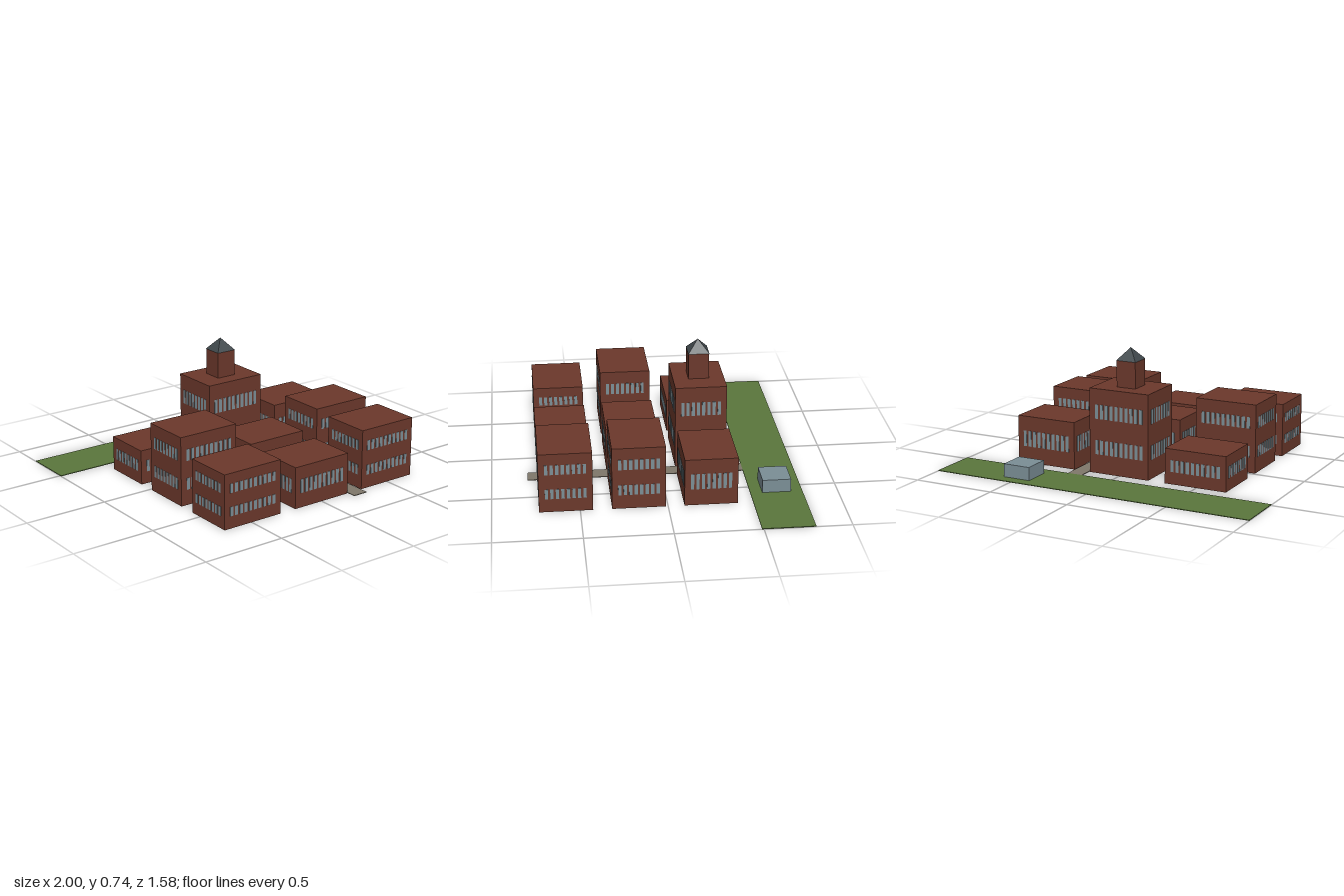
import * as THREE from 'three';

const paint = (color) => new THREE.MeshStandardMaterial({ color, flatShading: true });

export function createModel() {
  const brick = paint(0x6b382b), glass = paint(0x7b8e96), slate = paint(0x3f474b);
  const grass = paint(0x5a763c), paving = paint(0x7f776a);
  const model = new THREE.Group();
  model.name = 'campus';

  // Box standing on height y
  function box(parent, name, material, w, h, d, x, y, z) {
    const mesh = new THREE.Mesh(new THREE.BoxGeometry(w, h, d), material);
    mesh.name = name;
    mesh.position.set(x, y + h / 2, z);
    parent.add(mesh);
    return mesh;
  }

  const W = 0.385, D = 0.306, PROUD = 0.002;

  // Brick block with rows of windows on all four walls
  function building(name, x, z, h) {
    const group = new THREE.Group();
    group.name = name;
    group.position.set(x, 0, z);
    box(group, 'walls', brick, W, h, D, 0, 0, 0);
    const floors = h > 0.3 ? 2 : 1;
    const winH = 0.336 * h / floors;
    for (let f = 0; f < floors; f++) {
      const y = h * (0.1 + 0.84 * (f + 0.5) / floors) - winH / 2;
      for (const side of [-1, 1]) {
        for (let i = 0; i < 10; i++) {
          box(group, 'window', glass, 0.0195, winH, PROUD * 2, (i - 4.5) * 0.0323, y, side * D / 2);
        }
        for (let i = 0; i < 8; i++) {
          box(group, 'window', glass, PROUD * 2, winH, 0.0185, side * W / 2, y, (i - 3.5) * 0.031);
        }
      }
    }
    model.add(group);
    return group;
  }

  // Three by three blocks: rows from back to front, heights from -x to +x
  const rows = [
    { label: 'back', z: -0.247, heights: [0.21, 0.51, 0.287] },
    { label: 'middle', z: 0.166, heights: [0.415, 0.265, 0.378] },
    { label: 'front', z: 0.58, heights: [0.325, 0.25, 0.362] },
  ];
  const columns = [['Right', -0.492], ['Centre', 0], ['Left', 0.492]];
  for (const { label, z, heights } of rows) {
    columns.forEach(([column, x], i) => building(`${label}${column}Building`, x, z, heights[i]));
  }

  // Tower with a pyramid roof on the tallest block
  box(model, 'tower', brick, 0.122, 0.158, 0.122, 0, 0.51, -0.247);
  const roof = new THREE.Mesh(
    new THREE.ConeGeometry(0.063 * Math.SQRT2, 0.073, 4).rotateY(Math.PI / 4), slate);
  roof.name = 'towerRoof';
  roof.position.set(0, 0.668 + 0.0365, -0.247);
  model.add(roof);

  // Lawn, footpath and small pavilion
  box(model, 'lawn', grass, 2, 0.004, 0.305, 0, 0, -0.6415);
  box(model, 'footpath', paving, 0.093, 0.004, 1.278, 0.245, 0, 0.15);
  box(model, 'pavilion', glass, 0.17, 0.08, 0.167, 0.498, 0.003, -0.642);

  return model;
}
